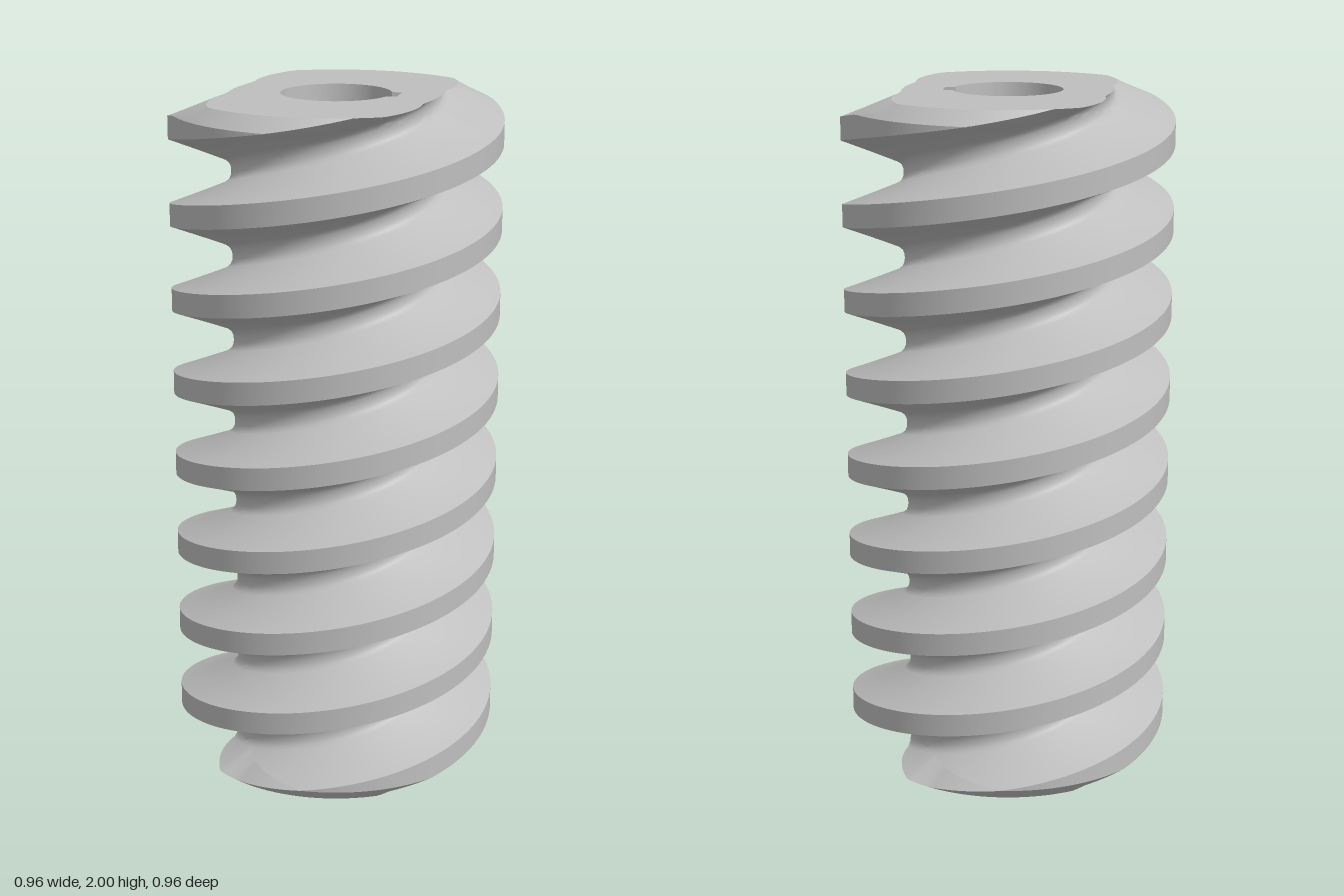
import * as THREE from 'three';
import { toCreasedNormals } from 'three/addons/utils/BufferGeometryUtils.js';

const HEIGHT = 2, PITCH = 0.25, COLUMNS = 180, CHAMFER = 0.041, TIP = 0.478;
const STEP_Y = 1; // where the keyed bore meets the wider lower bore

// half of one thread: distance along the axis from the crest centre, radius
const PROFILE = [[0, TIP], [0.0335, TIP], [0.092, 0.317], [0.101, 0.306], [0.113, 0.301], [0.125, 0.3]];

const angle = (i) => (i / COLUMNS) * Math.PI * 2;
const crestY = (t) => 0.15 + (PITCH * t) / Math.PI; // two starts: one pitch per half turn

function radius(t, y) {
  let s = (y - crestY(t)) / PITCH;
  s = Math.abs(s - Math.round(s)) * PITCH;
  let i = 1;
  while (i < PROFILE.length - 1 && s > PROFILE[i][0]) i++;
  const [s0, r0] = PROFILE[i - 1], [s1, r1] = PROFILE[i];
  const r = r0 + ((r1 - r0) * (s - s0)) / (s1 - s0);
  return Math.min(r, TIP - CHAMFER + Math.min(y, HEIGHT - y)); // 45 degree end chamfers
}

// skin between neighbouring columns of points, leaving out collapsed triangles
function skin(columns) {
  const pos = [];
  const tri = (a, b, c) => {
    const area = b.clone().sub(a).cross(c.clone().sub(a)).length();
    if (area > 1e-9) pos.push(...a.toArray(), ...b.toArray(), ...c.toArray());
  };
  for (let i = 0; i < columns.length - 1; i++) {
    const p = columns[i], q = columns[i + 1];
    for (let j = 0; j < p.length - 1; j++) {
      tri(p[j], q[j], q[j + 1]);
      tri(p[j], q[j + 1], p[j + 1]);
    }
  }
  const geo = new THREE.BufferGeometry();
  geo.setAttribute('position', new THREE.Float32BufferAttribute(pos, 3));
  return toCreasedNormals(geo, 0.6);
}

// helical surface between two heights, its rows following the thread edges
function threadBand(lo, hi) {
  const knots = [];
  for (let k = -3; k <= 8; k++) {
    for (let i = PROFILE.length - 1; i > 0; i--) knots.push(k * PITCH - PROFILE[i][0]);
    for (let i = 1; i < PROFILE.length - 1; i++) knots.push(k * PITCH + PROFILE[i][0]);
  }
  const columns = [];
  for (let i = 0; i <= COLUMNS; i++) {
    const t = angle(i);
    columns.push(knots.map((k) => {
      const y = THREE.MathUtils.clamp(crestY(t) + k, lo, hi);
      const r = radius(t, y);
      return new THREE.Vector3(r * Math.cos(t), y, -r * Math.sin(t));
    }));
  }
  return skin(columns);
}

// outlines in plan, counterclockwise from above (plan y is -z)
function ringOutline(radiusAt) {
  return Array.from({ length: COLUMNS }, (_, i) => {
    const t = angle(i), r = radiusAt(t);
    return new THREE.Vector2(r * Math.cos(t), r * Math.sin(t));
  });
}

function keyedOutline() {
  const r = 0.158, half = 0.038, depth = 0.183, a = Math.asin(half / r), n = 72;
  const pts = [new THREE.Vector2(depth, -half), new THREE.Vector2(depth, half)];
  for (let i = 0; i <= n; i++) {
    const t = a + ((2 * Math.PI - 2 * a) * i) / n;
    pts.push(new THREE.Vector2(r * Math.cos(t), r * Math.sin(t)));
  }
  return pts.map((p) => p.rotateAround(new THREE.Vector2(), -0.23));
}

// flat ring between two outlines, facing up or down
function flatRing(outer, inner, y, up) {
  const flip = (pts) => pts.map((p) => new THREE.Vector2(p.x, up ? p.y : -p.y));
  const shape = new THREE.Shape(flip(outer));
  shape.holes.push(new THREE.Path(flip(inner)));
  return new THREE.ShapeGeometry(shape).rotateX(up ? -Math.PI / 2 : Math.PI / 2).translate(0, y, 0);
}

// inward-facing bore wall
function boreWall(outline, y0, y1) {
  const loop = [...outline, outline[0]].reverse();
  return skin(loop.map((p) => [y0, y1].map((y) => new THREE.Vector3(p.x, y, -p.y))));
}

export function createModel() {
  const steel = new THREE.MeshStandardMaterial({ color: 0xbfbfbf });
  steel.name = 'steel grey';
  const model = new THREE.Group();
  model.name = 'wormGear';
  const add = (name, geometry) => {
    const mesh = new THREE.Mesh(geometry, steel);
    mesh.name = name;
    model.add(mesh);
  };

  // two-start thread and its chamfered ends
  add('thread', threadBand(CHAMFER, HEIGHT - CHAMFER));
  add('topChamfer', threadBand(HEIGHT - CHAMFER, HEIGHT));
  add('bottomChamfer', threadBand(0, CHAMFER));

  // end faces, keyed bore above and plain wider bore below
  const keyed = keyedOutline();
  const plain = ringOutline(() => 0.188);
  add('topFace', flatRing(ringOutline((t) => radius(t, HEIGHT)), keyed, HEIGHT, true));
  add('bottomFace', flatRing(ringOutline((t) => radius(t, 0)), plain, 0, false));
  add('keyedBore', boreWall(keyed, STEP_Y, HEIGHT));
  add('boreStep', flatRing(plain, keyed, STEP_Y, false));
  add('lowerBore', boreWall(plain, 0, STEP_Y));
  return model;
}
